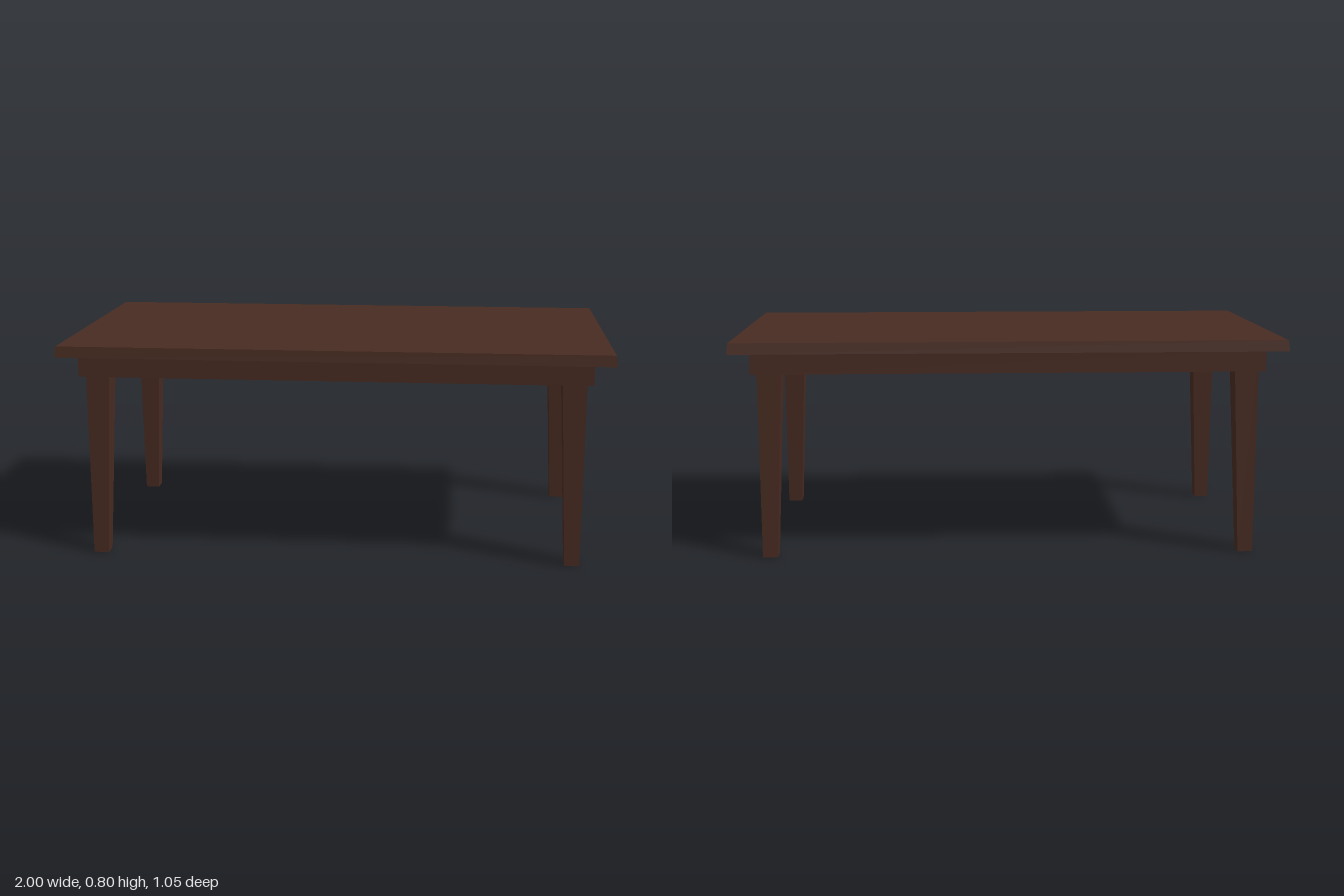
import * as THREE from 'three';

// Box-like solid between two rectangles [x0, x1, z0, z1] at heights y0 and y1
function taperedBox(bottom, top, y0, y1, open) {
  const geometry = new THREE.BoxGeometry(1, 1, 1);
  const p = geometry.attributes.position;
  for (let i = 0; i < p.count; i++) {
    const upper = p.getY(i) > 0;
    const r = upper ? top : bottom;
    p.setXYZ(i, p.getX(i) < 0 ? r[0] : r[1], upper ? y1 : y0, p.getZ(i) < 0 ? r[2] : r[3]);
  }
  geometry.computeVertexNormals();
  // The lower face is the fourth of six; an open piece leaves it out
  if (open) geometry.setIndex([...geometry.index.array].filter((_, i) => i < 18 || i > 23));
  geometry.clearGroups();
  return geometry;
}

export function createModel() {
  const table = new THREE.Group();
  table.name = 'table';
  const wood = new THREE.MeshStandardMaterial({ color: 0x472b21, side: THREE.DoubleSide });
  wood.name = 'dark wood';

  const add = (name, bottom, top, y0, y1, open = false) => {
    const mesh = new THREE.Mesh(taperedBox(bottom, top, y0, y1, open), wood);
    mesh.name = name;
    table.add(mesh);
  };
  const addBox = (name, rect, y0, y1, open) => add(name, rect, rect, y0, y1, open);

  const topEdge = 0.758, railBottom = 0.68;

  // Top with slightly sloped edges, hollow from below
  add('tabletop', [-1, 1, -0.524, 0.524], [-0.995, 0.995, -0.519, 0.519], topEdge, 0.798, true);

  // Apron frame, its inner faces level with the outside of the legs
  const railX = 0.926, railZ = 0.479, innerX = 0.905, innerZ = 0.456;
  addBox('frontRail', [-railX, railX, innerZ, railZ], railBottom, topEdge);
  addBox('backRail', [-railX, railX, -railZ, -innerZ], railBottom, topEdge);
  addBox('leftRail', [innerX, railX, -innerZ, innerZ], railBottom, topEdge);
  addBox('rightRail', [-railX, -innerX, -innerZ, innerZ], railBottom, topEdge);

  // Lengthwise support under the top, hollow from below
  addBox('centreBeam', [-innerX, innerX, -0.035, 0.035], 0.698, topEdge, true);

  // Legs, straight outside, tapered on the two inner faces, hollow from below
  const span = (side, inner, outer) => (side > 0 ? [inner, outer] : [-outer, -inner]);
  for (const sx of [-1, 1]) {
    for (const sz of [-1, 1]) {
      const name = (sz > 0 ? 'front' : 'back') + (sx > 0 ? 'Left' : 'Right') + 'Leg';
      add(name,
        [...span(sx, 0.85, innerX), ...span(sz, 0.4, innerZ)],
        [...span(sx, 0.815, innerX), ...span(sz, 0.362, innerZ)],
        0, topEdge, true);
    }
  }
  return table;
}
